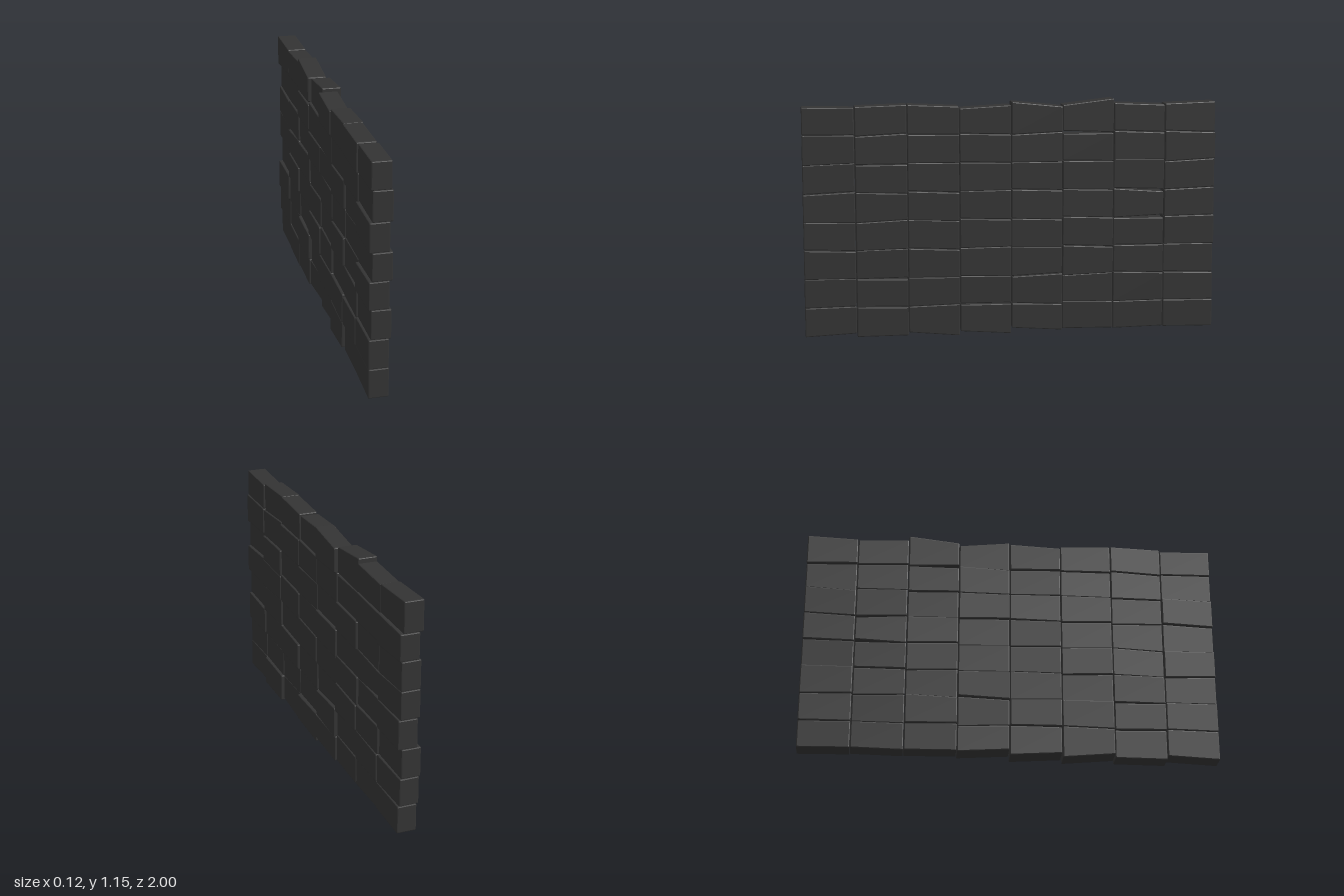
import * as THREE from 'three';
import { RoundedBoxGeometry } from 'three/addons/geometries/RoundedBoxGeometry.js';

const COLS = 8, ROWS = 8, LEN = 0.25, HIGH = 0.139, BASE = 0.02, THICK = 0.094;

// Heights of the wall's ragged bottom and top, two per column from +z to -z
const bottomEdge = [[.015, .028], [.012, .014], [.026, .004], [.03, .012], [.04, .022], [.025, .023], [.02, .026], [.025, .022]];
const topEdge = [[1.128, 1.123], [1.128, 1.135], [1.135, 1.124], [1.114, 1.128], [1.145, 1.12], [1.125, 1.155], [1.133, 1.122], [1.127, 1.135]];
// Sideways shift of the +z end column (upwards) and of the top course (+z to -z)
const endShift = [-.004, -.006, .004, -.008, .006, -.008, .006, 0];
const topShift = [0, -.008, -.006, -.011, .01, -.006, -.003, -.006];
// Open joints as [column, row below, drop at +z end, drop at -z end]
const gaps = [[1, 1, .002, .01], [5, 6, .014, .004], [6, 3, .003, .014], [6, 4, .002, .012]];

function seeded(seed) {
  let s = seed;
  return () => {
    s = (s * 16807) % 2147483647;
    return (s / 2147483647) * 2 - 1;
  };
}

// Bevelled block whose bottom and top edges slope along z, with a slight yaw
function brickGeometry(bottom, top, yaw, roll) {
  const g = new RoundedBoxGeometry(THICK, 1, LEN - 0.002, 1, 0.005);
  const p = g.attributes.position;
  const bevel = 0.005;
  for (let i = 0; i < p.count; i++) {
    const x = p.getX(i), y = p.getY(i), z = p.getZ(i);
    const t = 0.5 - z / LEN;
    const lo = THREE.MathUtils.lerp(bottom[0], bottom[1], t);
    const hi = THREE.MathUtils.lerp(top[0], top[1], t);
    // keep the bevel size while the body takes its new height
    const inset = Math.min(0.5 - Math.abs(y), bevel);
    const newY = y > 0 ? hi - inset : lo + inset;
    p.setXYZ(i, x + yaw * z, newY + roll * x, z);
  }
  g.computeVertexNormals();
  return g;
}

export function createModel() {
  const wall = new THREE.Group();
  wall.name = 'brickWall';
  const material = new THREE.MeshStandardMaterial({ color: 0x333333, flatShading: true });
  const rand = seeded(4711);

  for (let c = 0; c < COLS; c++) {
    const column = new THREE.Group();
    column.name = `brickColumn${c + 1}`;

    // Sloping joints from bottom to top of this column
    const joints = [];
    for (let r = 0; r <= ROWS; r++) {
      const y = BASE + r * HIGH + rand() * 0.003, slope = rand() * 0.006;
      joints.push([y - slope, y + slope]);
    }
    joints[0] = bottomEdge[c];
    joints[ROWS] = topEdge[c];

    for (let r = 0; r < ROWS; r++) {
      const top = joints[r + 1].slice();
      const gap = gaps.find(([gc, gr]) => gc === c && gr === r);
      if (gap) {
        top[0] -= gap[2];
        top[1] -= gap[3];
      }
      const brick = new THREE.Mesh(brickGeometry(joints[r], top, rand() * 0.02, r === ROWS - 1 ? 0 : rand() * 0.03), material);
      brick.name = `brick${c + 1}_${r + 1}`;
      let shift = rand() * 0.009;
      if (c === 0) shift = endShift[r];
      else if (r === ROWS - 1) shift = topShift[c];
      brick.position.set(shift, 0, 1 - LEN * (c + 0.5));
      column.add(brick);
    }
    wall.add(column);
  }
  return wall;
}
